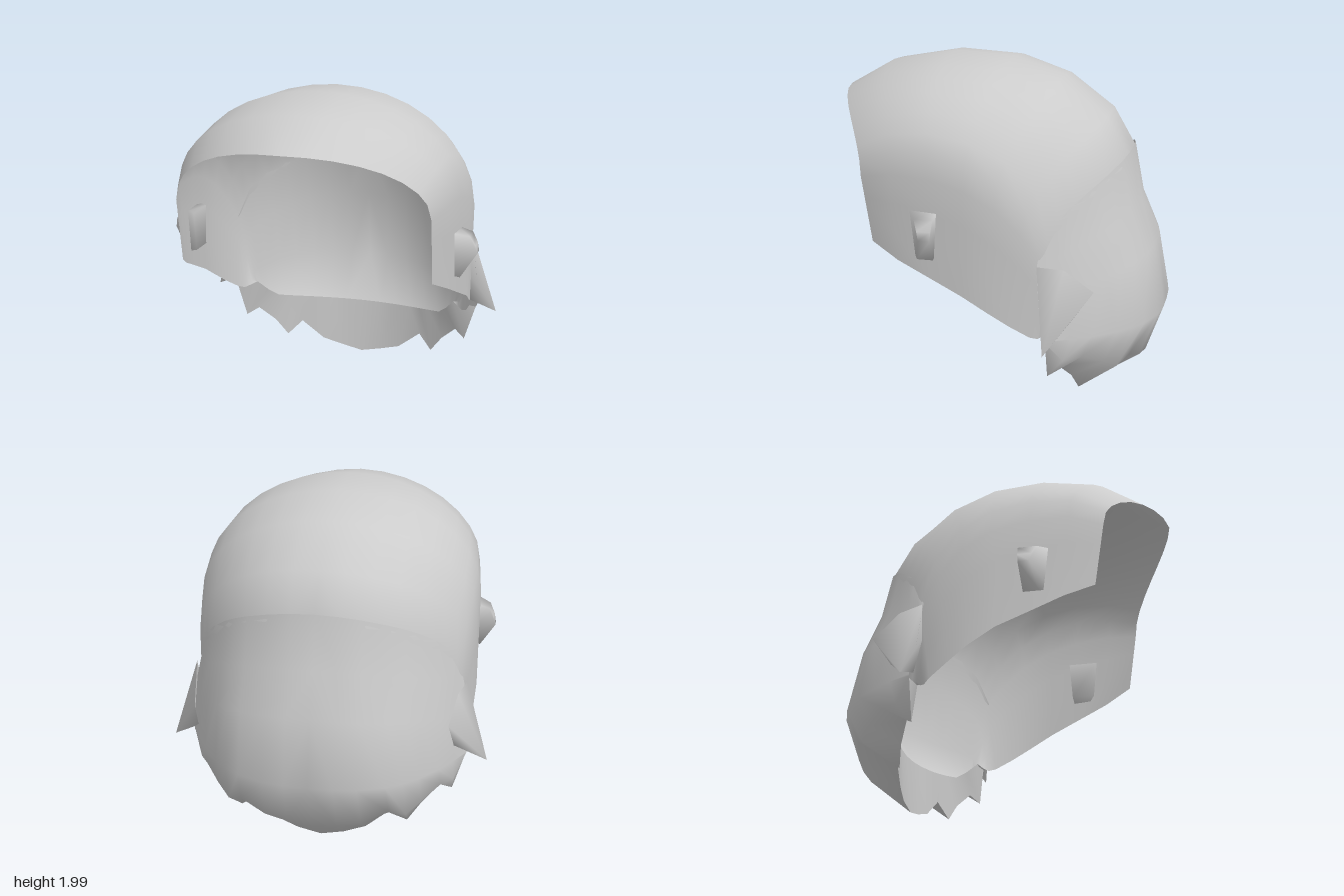
import * as THREE from 'three';
import { mergeVertices } from 'three/addons/utils/BufferGeometryUtils.js';

const material = new THREE.MeshStandardMaterial({ color: 0xcccccc, side: THREE.DoubleSide });

function makeMesh(name, positions, index) {
  const g = new THREE.BufferGeometry();
  g.setAttribute('position', new THREE.Float32BufferAttribute(positions, 3));
  g.setIndex(index);
  g.computeVertexNormals();
  const mesh = new THREE.Mesh(g, material);
  mesh.name = name;
  return mesh;
}

// A smooth sheet through rows of half sections (centre to left side), mirrored to the right
function sheet(name, halfRows) {
  const rows = halfRows.map((r) => [...r.slice(1).reverse().map(([x, y, z]) => [-x, y, z]), ...r]);
  const n = rows[0].length, index = [];
  for (let i = 0; i < rows.length - 1; i++) {
    for (let j = 0; j < n - 1; j++) {
      const a = i * n + j, b = a + 1, c = a + n, d = c + 1;
      if (j < (n - 1) / 2) index.push(a, b, c, b, d, c);
      else index.push(a, b, d, a, d, c);
    }
  }
  return makeMesh(name, rows.flat(2), index);
}

// Point on an arch from centre (yc, zc) to side end (xe, ye, ze). u runs 0..1 across to the
// shoulder, down 0..1 from the shoulder to the end; p sets how round the arch is from above.
function archPoint([yc, zc, xe, ye, ze, p], u, shoulder = 1, down = 0) {
  const drop = shoulder * (1 - Math.sqrt(Math.max(0, 1 - u * u))) + (1 - shoulder) * down;
  const zShare = 0.7 + 0.3 * shoulder;
  const back = zShare * Math.pow(u, p) + (1 - zShare) * down;
  return [xe * u, yc + (ye - yc) * drop, zc + (ze - zc) * back];
}

// Arches of the cap: hairline, over the crown, then down inside to the neck rim
const CAP = [
  [1.76, 1.0, 0.75, 1.0, 0.62, 1.5],
  [1.92, 0.72, 0.81, 0.92, 0.45, 1.7],
  [1.99, 0.33, 0.83, 0.83, 0.25, 2],
  [1.97, -0.04, 0.85, 0.75, 0.07, 2],
  [1.87, -0.35, 0.845, 0.66, -0.08, 2.2],
  [1.67, -0.63, 0.82, 0.58, -0.2, 2.3],
  [1.43, -0.77, 0.785, 0.51, -0.31, 2.4],
  [1.1, -0.8, 0.75, 0.49, -0.35, 2.4],
  [0.65, -0.86, 0.72, 0.5, -0.38, 2.4],
  [0.36, -0.68, 0.68, 0.52, -0.41, 2],
];

// Arches of the back hair, from its upper seam down to its widest level
const BACK = [
  [1.46, -0.765, 0.795, 0.97, -0.355, 2.4],
  [1.15, -0.825, 0.82, 0.86, -0.36, 2.5],
  [0.9, -0.93, 0.835, 0.7, -0.375, 2.7],
  [0.51, -1.0, 0.84, 0.52, -0.41, 2.9],
];

// Jagged lower edge of the back hair, centre to side
const TIPS = [
  [0, 0, -0.64], [0.14, 0.03, -0.64], [0.27, 0.07, -0.62], [0.42, 0.19, -0.6], [0.51, 0.1, -0.55],
  [0.59, 0.21, -0.52], [0.69, 0.31, -0.46], [0.76, 0.27, -0.41], [0.83, 0.5, -0.41],
];

// Pointed flare on each side: its tip, then the loop where it grows out of the hair
const FLARE_TIP = [0.96, 0.48, -0.42];
const FLARE_BASE = [
  [0.82, 0.95, -0.355], [0.78, 0.93, -0.5], [0.745, 0.8, -0.665], [0.77, 0.62, -0.54], [0.79, 0.55, -0.4], [0.78, 0.75, -0.36],
];

// Small ear-like knob, thinner towards its outer rim and its lower end
function ear() {
  const shape = new THREE.Shape([
    [0.77, 0.98], [0.85, 0.95], [0.94, 1.09], [0.93, 1.14], [0.9, 1.2], [0.8, 1.23], [0.77, 1.22],
  ].map(([x, y]) => new THREE.Vector2(x, y)));
  let g = new THREE.ExtrudeGeometry(shape, { depth: 1, bevelEnabled: false });
  g.deleteAttribute('normal');
  g.deleteAttribute('uv');
  g = mergeVertices(g);
  const p = g.attributes.position;
  for (let i = 0; i < p.count; i++) {
    const out = (p.getX(i) - 0.77) / 0.17, low = (1.23 - p.getY(i)) / 0.28;
    p.setZ(i, 0.21 + 0.02 * low + p.getZ(i) * (0.19 - 0.1 * out - 0.05 * low));
  }
  g.computeVertexNormals();
  return g;
}

export function createModel() {
  const group = new THREE.Group();
  group.name = 'hair';

  // Cap with its lining
  const across = [0, 0.18, 0.36, 0.53, 0.68, 0.81, 0.91, 0.97, 1];
  group.add(sheet('cap', CAP.map((a) => [
    ...across.map((u) => archPoint(a, u, 0.5)),
    ...[0.33, 0.67, 1].map((down) => archPoint(a, 1, 0.5, down)),
  ])));

  // Back hair: arches, a rounded lower row and the tips
  const us = TIPS.map((t) => t[0] / 0.83);
  const rows = BACK.map((a) => us.map((u) => archPoint(a, u)));
  const lower = rows[3].map(([x, y, z], j) => {
    const t = TIPS[j], bulge = 1 - us[j] ** 4;
    return [(x + t[0]) / 2 + 0.03 * us[j] * bulge, (y + t[1]) / 2 - 0.045 * bulge, (z + t[2]) / 2 - 0.08 * bulge];
  });
  rows.push(lower, TIPS);
  group.add(sheet('backHair', rows));

  // Underside between the tips and the neck rim
  const rim = us.map((u, j) => archPoint(CAP[CAP.length - 1], u, 0.5, Math.max(0, j - 6) / 2));
  group.add(sheet('underside', [TIPS, rim]));

  // Side flares and ears
  for (const side of [1, -1]) {
    const word = side > 0 ? 'left' : 'right', n = FLARE_BASE.length, index = [];
    for (let i = 0; i < n; i++) {
      const a = i + 1, b = (i + 1) % n + 1;
      index.push(0, ...(side > 0 ? [b, a] : [a, b]));
    }
    const points = [FLARE_TIP, ...FLARE_BASE].flatMap(([x, y, z]) => [side * x, y, z]);
    group.add(makeMesh(word + 'Flare', points, index));

    const mesh = new THREE.Mesh(ear(), material);
    mesh.name = word + 'Ear';
    mesh.scale.x = side;
    group.add(mesh);
  }
  return group;
}
